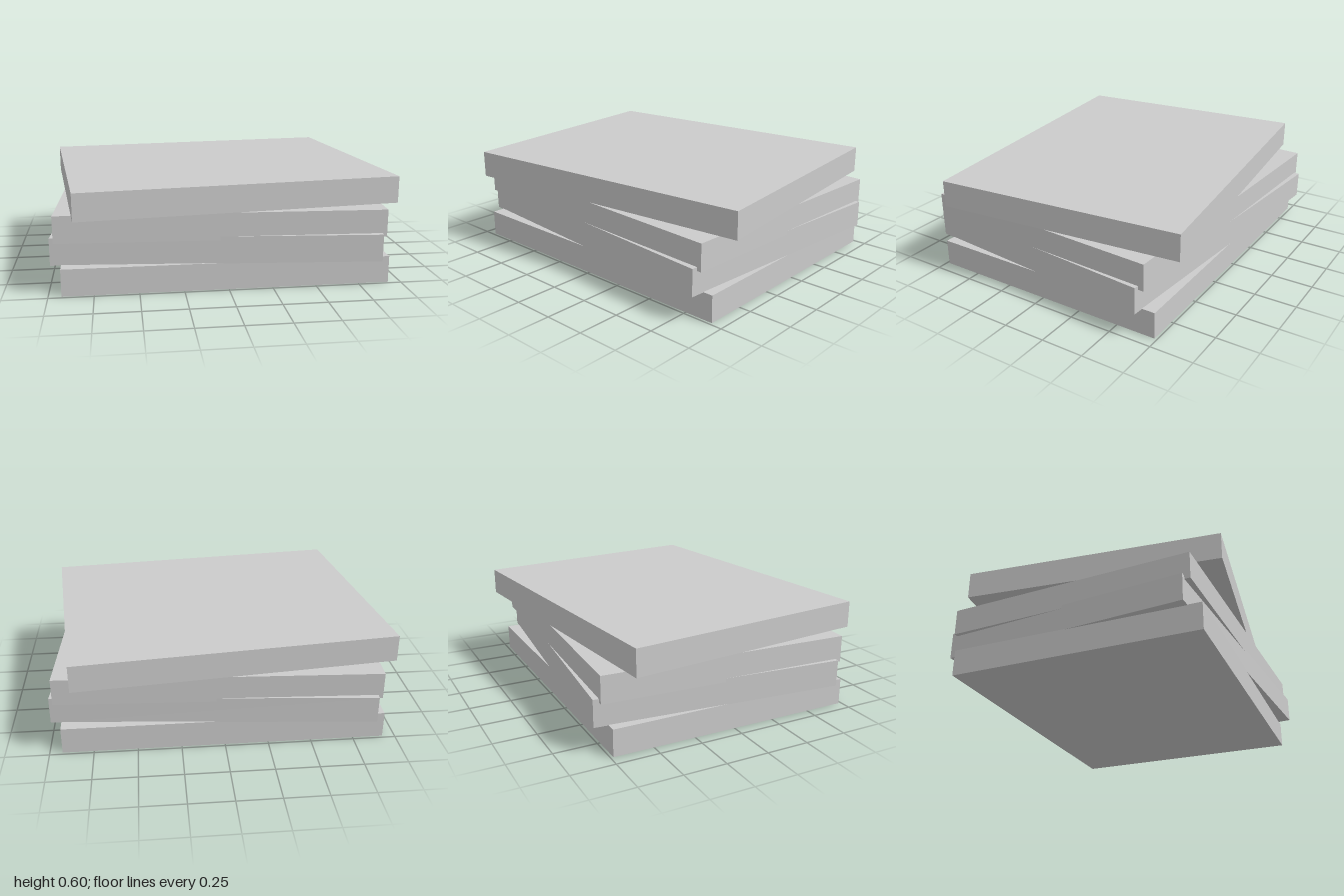
import * as THREE from 'three';

// Stack of four equal slabs, each turned a little about the vertical axis
export function createModel() {
  const group = new THREE.Group();
  group.name = 'slabStack';
  const height = 0.156;
  const geometry = new THREE.BoxGeometry(1.855, height, 1.468);
  const material = new THREE.MeshStandardMaterial({ color: 0xcccccc, flatShading: true });

  // name, underside height, turn in degrees
  const slabs = [
    ['bottomSlab', 0, 0],
    ['lowerSlab', 0.153, -5],
    ['upperSlab', 0.288, -2.9],
    ['topSlab', 0.444, 6],
  ];
  for (const [name, y, turn] of slabs) {
    const slab = new THREE.Mesh(geometry, material);
    slab.name = name;
    slab.position.y = y + height / 2;
    slab.rotation.y = THREE.MathUtils.degToRad(turn);
    group.add(slab);
  }
  return group;
}
